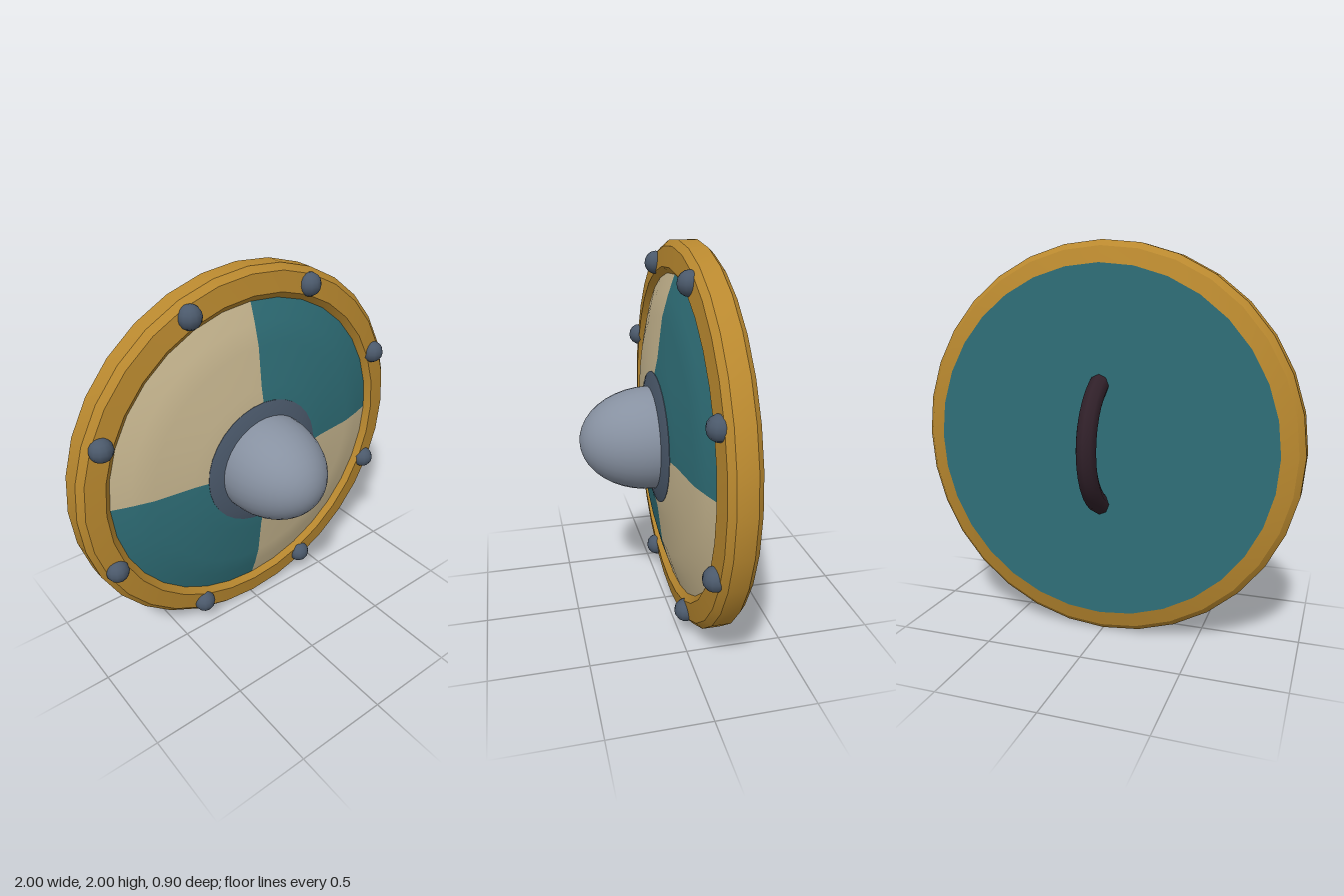
import * as THREE from 'three';
import { toCreasedNormals } from 'three/addons/utils/BufferGeometryUtils.js';

const material = (name, color) => new THREE.MeshStandardMaterial({ name, color });

// Revolves [radius, z] points, listed from back to front, about the z axis.
function turned(points, segments = 32, start = 0, sweep = Math.PI * 2) {
  const profile = points.map(([r, z]) => new THREE.Vector2(r, z));
  return new THREE.LatheGeometry(profile, segments, start, sweep).rotateX(Math.PI / 2);
}

export function createModel() {
  const gold = material('gold', 0xba892f);
  const teal = material('teal', 0x2f6f78);
  const cream = material('cream', 0xc8b790);
  const steel = material('steel', 0x8791a1);
  const darkSteel = material('dark steel', 0x4b596b);
  const leather = material('dark leather', 0x302029);

  const shield = new THREE.Group();
  shield.name = 'roundShield';
  shield.position.y = 1;

  function add(name, geometry, mat, parent = shield) {
    const mesh = new THREE.Mesh(geometry, mat);
    mesh.name = name;
    parent.add(mesh);
    return mesh;
  }

  // Bevelled rim
  const rim = turned([
    [0.89, -0.215], [0.97, -0.19], [1, -0.16], [1, -0.065],
    [0.97, -0.035], [0.87, -0.02], [0.835, -0.05], [0.835, -0.08],
  ]);
  add('rim', toCreasedNormals(rim, 0.3), gold);

  // Domed face in four painted quarters
  const face = new THREE.Group();
  face.name = 'face';
  shield.add(face);
  const dome = [[0.85, -0.052], [0.74, -0.015], [0.63, 0.015], [0.42, 0.04], [0.3, 0.065], [0, 0.07]];
  for (let i = 0; i < 4; i++) {
    const quarter = turned(dome, 8, i * Math.PI / 2, Math.PI / 2);
    add('faceQuarter' + (i + 1), quarter, i % 2 ? teal : cream, face);
  }

  // Flat back board
  add('backBoard', turned([[0, -0.215], [0.89, -0.215]]), teal);

  // Central boss on its flange
  add('bossFlange', toCreasedNormals(turned([[0.345, 0.045], [0.345, 0.058], [0.27, 0.082], [0, 0.082]]), 0.6), darkSteel);
  const boss = new THREE.SphereGeometry(1, 32, 10, 0, Math.PI * 2, 0, Math.PI / 2);
  add('boss', boss.rotateX(Math.PI / 2).scale(0.27, 0.27, 0.37).translate(0, 0, 0.08), steel);

  // Eight rivets around the rim
  const rivets = new THREE.Group();
  rivets.name = 'rivets';
  shield.add(rivets);
  const rivet = new THREE.SphereGeometry(0.06, 12, 8);
  for (let i = 0; i < 8; i++) {
    const a = (i + 0.5) * Math.PI / 4;
    add('rivet' + (i + 1), rivet, darkSteel, rivets)
      .position.set(0.92 * Math.cos(a), 0.92 * Math.sin(a), -0.03);
  }

  // Arched grip behind the board
  const grip = new THREE.TorusGeometry(0.34, 0.052, 8, 18, Math.PI);
  add('grip', grip.rotateZ(Math.PI / 2).rotateY(-Math.PI / 2).translate(0, 0, -0.058), leather);

  const model = new THREE.Group();
  model.name = 'shieldModel';
  model.add(shield);
  return model;
}
